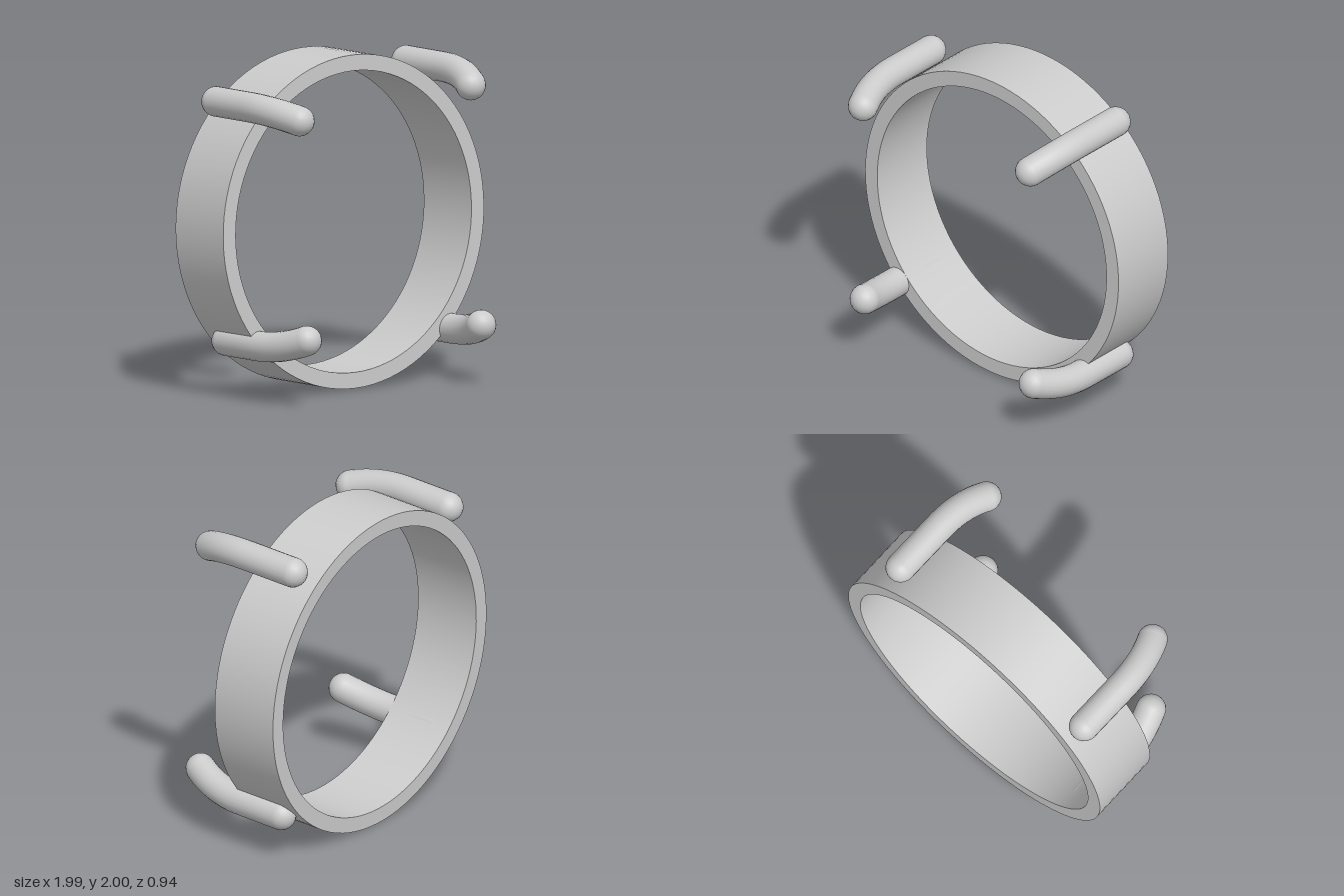
import * as THREE from 'three';
import { toCreasedNormals } from 'three/addons/utils/BufferGeometryUtils.js';

const material = new THREE.MeshStandardMaterial({ color: 0xcccccc });
const PRONG_RADIUS = 0.09;

// Flat-walled band: a rectangular profile turned around the z axis
function makeBand(outer, inner, half) {
  const profile = [[outer, -half], [outer, half], [inner, half], [inner, -half], [outer, -half]]
    .map(([x, y]) => new THREE.Vector2(x, y));
  const geometry = toCreasedNormals(new THREE.LatheGeometry(profile, 96), 0.6);
  geometry.rotateX(Math.PI / 2);
  return new THREE.Mesh(geometry, material);
}

// Round-ended rod that runs straight forward, then curls in to its tip
function makeProng(name, back, tip) {
  const start = new THREE.Vector3(...back);
  const end = new THREE.Vector3(...tip);
  const bend = new THREE.Vector3(start.x, start.y + 0.006, 0);
  const control = new THREE.Vector3(start.x, start.y + 0.008, 0.2);

  const path = new THREE.CurvePath();
  path.add(new THREE.LineCurve3(start, bend));
  path.add(new THREE.QuadraticBezierCurve3(bend, control, end));

  const prong = new THREE.Group();
  prong.name = name;
  const rod = new THREE.Mesh(new THREE.TubeGeometry(path, 40, PRONG_RADIUS, 20), material);
  rod.name = name + 'Rod';
  prong.add(rod);
  for (const [label, point] of [['BackCap', start], ['FrontCap', end]]) {
    const cap = new THREE.Mesh(new THREE.SphereGeometry(PRONG_RADIUS, 20, 14), material);
    cap.name = name + label;
    cap.position.copy(point);
    prong.add(cap);
  }
  return prong;
}

export function createModel() {
  const model = new THREE.Group();
  model.name = 'prongedRing';

  // Ring, leaning back very slightly
  const band = makeBand(0.995, 0.9, 0.222);
  band.name = 'ring';
  band.position.set(-0.002, 1, -0.222);
  band.rotation.set(-0.02, 0.007, 0);
  model.add(band);

  // Prongs: centre of the back end, centre of the tip
  const prongs = [
    ['upperLeftProng', [0.675, 1.857, -0.34], [0.61, 1.803, 0.345]],
    ['upperRightProng', [-0.775, 1.762, -0.33], [-0.7, 1.725, 0.358]],
    ['lowerLeftProng', [0.733, 0.285, -0.3], [0.665, 0.365, 0.375]],
    ['lowerRightProng', [-0.73, 0.33, -0.29], [-0.665, 0.408, 0.382]],
  ];
  for (const [name, back, tip] of prongs) model.add(makeProng(name, back, tip));

  return model;
}
